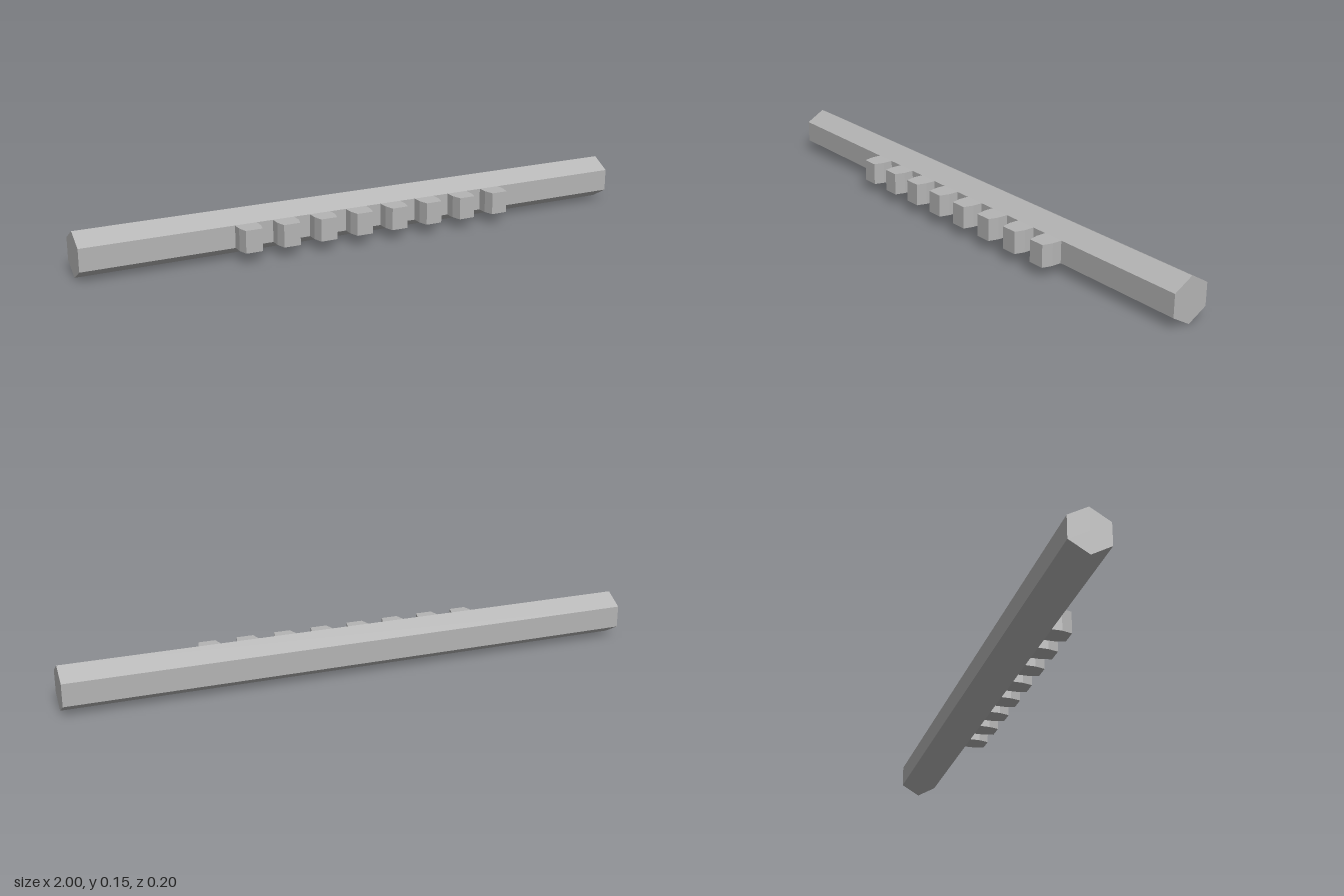
import * as THREE from 'three';

export function createModel() {
  const group = new THREE.Group();
  const grey = new THREE.MeshStandardMaterial({ color: 0xb4b4b4, flatShading: true });
  grey.name = 'plain grey';

  const radius = 0.0765; // hexagon corner radius

  // Hexagonal bar lying along x, with ridges at top and bottom
  const barGeometry = new THREE.CylinderGeometry(radius, radius, 2, 6, 1, false, Math.PI / 6);
  barGeometry.rotateZ(Math.PI / 2);
  const bar = new THREE.Mesh(barGeometry, grey);
  bar.name = 'hexagonalBar';
  bar.position.set(0, radius, -0.035);
  group.add(bar);

  // Tooth outline in x and z: straight flanks, then a taper to the tip
  const outline = new THREE.Shape([
    [-0.038, 0.02], [0.038, 0.02], [0.038, 0.066],
    [0.029, 0.101], [-0.029, 0.101], [-0.038, 0.066],
  ].map(([x, z]) => new THREE.Vector2(x, z)));
  const toothGeometry = new THREE.ExtrudeGeometry(outline, { depth: radius, bevelEnabled: false });
  toothGeometry.rotateX(Math.PI / 2);

  // Row of eight teeth along the front flat
  const teeth = new THREE.Group();
  teeth.name = 'teeth';
  for (let i = 0; i < 8; i++) {
    const tooth = new THREE.Mesh(toothGeometry, grey);
    tooth.name = 'tooth';
    tooth.position.set(-0.449 + i * 0.133, radius * 1.5, 0);
    teeth.add(tooth);
  }
  group.add(teeth);

  return group;
}
